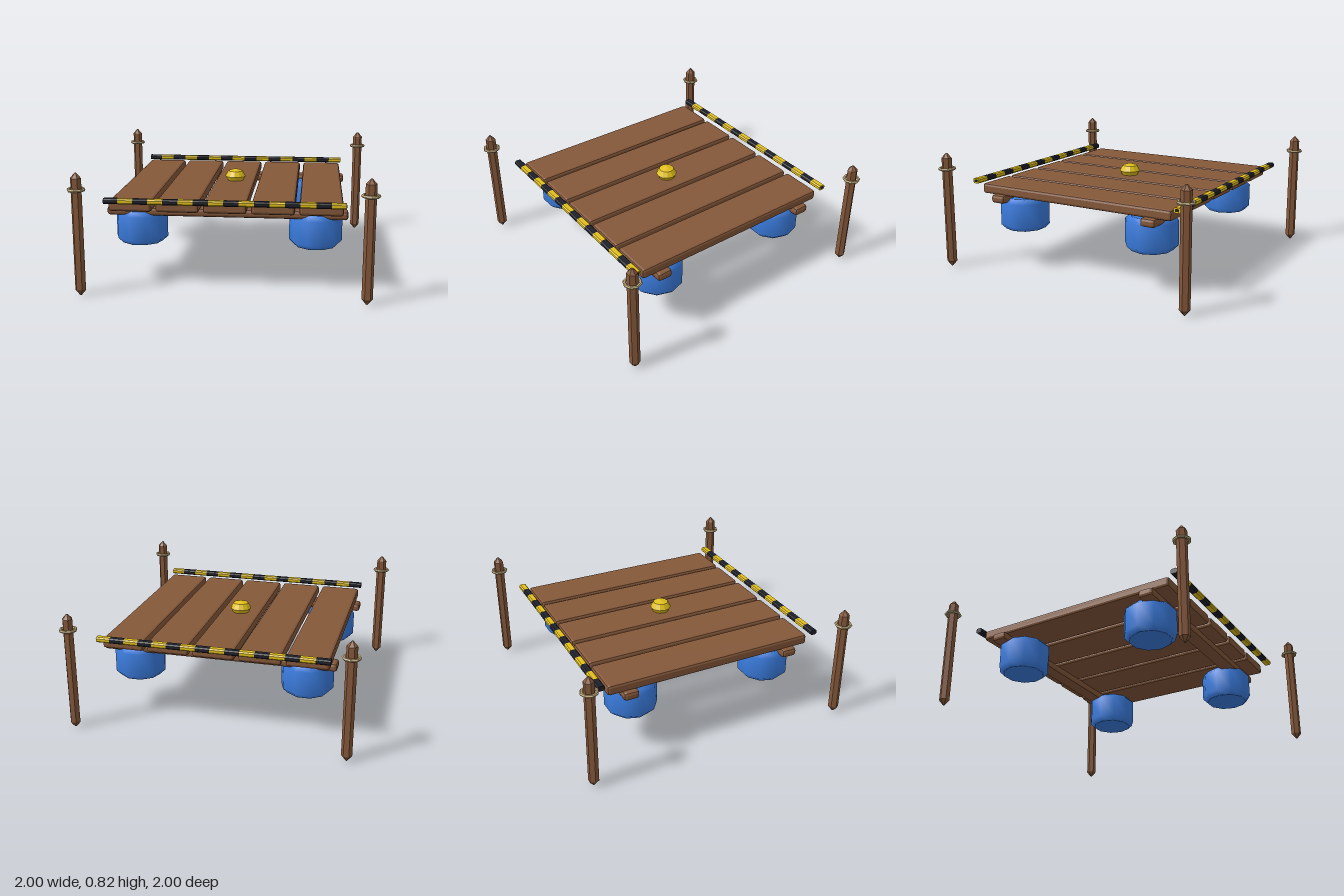
import * as THREE from 'three';
import { RoundedBoxGeometry } from 'three/addons/geometries/RoundedBoxGeometry.js';

const mat = (name, color, flatShading = false) => {
  const m = new THREE.MeshStandardMaterial({ color, flatShading });
  m.name = name;
  return m;
};

export function createModel() {
  const wood = mat('wood brown', 0x85583a, true);
  const blue = mat('float blue', 0x3b7de0);
  const yellow = mat('warning yellow', 0xe2c01a, true);
  const black = mat('stripe black', 0x1f212a, true);
  const rope = mat('rope tan', 0xc8b080, true);

  const model = new THREE.Group();
  model.name = 'floatingPlatform';
  const add = (name, geometry, material, x, y, z, parent = model) => {
    const mesh = new THREE.Mesh(geometry, material);
    mesh.name = name;
    mesh.position.set(x, y, z);
    parent.add(mesh);
    return mesh;
  };
  const lathe = (points, sides) => new THREE.LatheGeometry(
    points.map(([r, y]) => new THREE.Vector2(r, y)), sides, Math.PI / 2);

  // Deck planks running front to back
  const plankGeo = new RoundedBoxGeometry(0.29, 0.073, 1.51, 1, 0.018);
  for (let i = -2; i <= 2; i++) add('plank', plankGeo, wood, i * 0.318, 0.563, 0);

  // Cross beams under the deck
  const beamGeo = new RoundedBoxGeometry(1.63, 0.06, 0.11, 1, 0.02);
  for (const s of [-1, 1]) add('crossBeam', beamGeo, wood, 0, 0.505, s * 0.6);

  // Ten-sided floats with softened rims
  const floatGeo = lathe([
    [0, 0.27], [0.145, 0.27], [0.146, 0.271], [0.18, 0.305],
    [0.18, 0.47], [0.146, 0.503], [0.145, 0.504], [0, 0.504],
  ], 10);

  // Mooring posts pointed at both ends, each with a rope ring
  const postGeo = lathe([
    [0, 0], [0.006, 0], [0.036, 0.036], [0.036, 0.79], [0.006, 0.824], [0, 0.824],
  ], 6);
  const ringGeo = new THREE.TorusGeometry(0.051, 0.011, 6, 8).rotateX(Math.PI / 2);

  for (const sx of [-1, 1]) {
    for (const sz of [-1, 1]) {
      add('float', floatGeo, blue, sx * 0.6, 0, sz * 0.52);
      add('post', postGeo, wood, sx * 0.937, 0, sz * 0.937);
      add('ropeRing', ringGeo, rope, sx * 0.937, 0.714, sz * 0.937);
    }
  }

  // Striped safety bars: chamfered section cut into alternating lengths
  const w = 0.025, h = 0.018, c = 0.009;
  const section = new THREE.Shape([
    [-w, -h + c], [-w + c, -h], [w - c, -h], [w, -h + c],
    [w, h - c], [w - c, h], [-w + c, h], [-w, h - c],
  ].map(([x, y]) => new THREE.Vector2(x, y)));
  const barPiece = (length) => new THREE.ExtrudeGeometry(section, { depth: length, bevelEnabled: false })
    .rotateY(Math.PI / 2);
  const inner = barPiece(0.1), end = barPiece(0.095);
  const capGeo = new THREE.BoxGeometry(0.004, 0.018, 0.026);
  for (const s of [-1, 1]) {
    const bar = new THREE.Group();
    bar.name = 'stripedBar';
    bar.position.set(0, 0.612, s * 0.803);
    for (let i = 0; i < 16; i++) {
      const x = i === 0 ? -0.795 : -0.8 + i * 0.1;
      add('stripe', i === 0 || i === 15 ? end : inner, i % 2 ? yellow : black, x, 0, 0, bar);
    }
    add('barEnd', capGeo, black, 0.795, 0, 0, bar);
    model.add(bar);
  }

  // Faceted marker knob in the middle of the deck
  const knob = new THREE.SphereGeometry(0.075, 12, 4).scale(1, 0.74, 1);
  add('markerKnob', knob, yellow, 0, 0.63, 0);

  return model;
}
